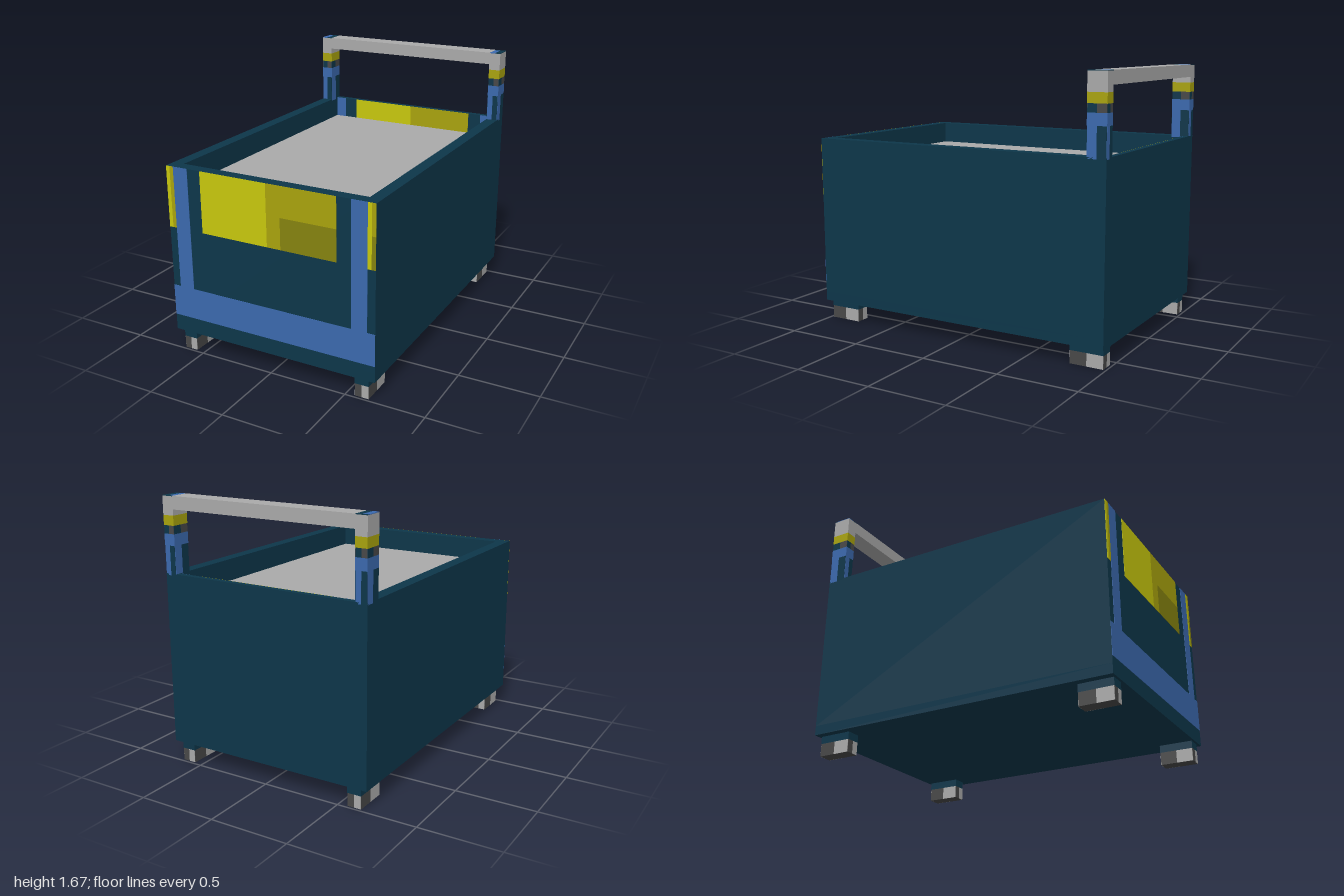
import * as THREE from 'three';

const mat = (name, color) => new THREE.MeshStandardMaterial({ name, color });

export function createModel() {
  const root = new THREE.Group();
  root.name = 'cart';
  const navy = mat('navy', 0x0d364a);
  const blue = mat('blue', 0x3b69ae);
  const yellow = mat('yellow', 0xc8c80d);
  const midYellow = mat('midYellow', 0xa9a30d);
  const olive = mat('olive', 0x86830f);
  const grey = mat('grey', 0xaaaaaa);
  const darkGrey = mat('darkGrey', 0x484848);

  // box given by its lower and upper limits
  function box(name, m, x0, x1, y0, y1, z0, z1, parent = root) {
    const mesh = new THREE.Mesh(new THREE.BoxGeometry(x1 - x0, y1 - y0, z1 - z0), m);
    mesh.position.set((x0 + x1) / 2, (y0 + y1) / 2, (z0 + z1) / 2);
    mesh.name = name;
    parent.add(mesh);
    return mesh;
  }

  const W = 0.69, T = 0.075, B = 0.035, TOP = 1.2, BASE = 0.127, DECK = 1.06, E = 0.002;

  // open crate: base, four walls and the raised inner deck
  box('base', navy, -W, W, BASE, BASE + 0.06, -1, 0.998);
  for (const s of [-1, 1]) {
    const a = s * W, b = s * (W - T);
    box('sideWall', navy, Math.min(a, b), Math.max(a, b), BASE + 0.06, TOP, -1, 0.998);
  }
  box('frontWall', navy, -W + T, W - T, BASE + 0.06, TOP, 1 - T, 0.998);
  box('backWall', navy, -W + T, W - T, BASE + 0.06, TOP, -1, -1 + B);
  box('deck', grey, -W + T, W - T, DECK - 0.03, DECK, -1 + B, 1 - T);

  // painted bands of the front, as thin plates
  const plate = (name, m, x0, x1, y0, y1, z = 0.998) => box(name, m, x0, x1, y0, y1, z, z + E);
  plate('frontBand', blue, -W, W, 0.23, 0.43);
  for (const s of [-1, 1]) {
    const c = s * 0.59;
    plate('frontPost', blue, c - 0.05, c + 0.05, 0.43, TOP);
    const e = s * 0.665;
    plate('frontEdgeLeft', yellow, e - 0.025, e, 0.815, TOP);
    plate('frontEdgeRight', midYellow, e, e + 0.025, 1.01, TOP);
    plate('frontEdgeLower', s > 0 ? olive : midYellow, e, e + 0.025, 0.815, 1.01);
    // matching posts on the inside of the back wall
    const i = s * 0.5775;
    plate('backPost', blue, i - 0.0375, i + 0.0375, DECK, TOP, -1 + B);
  }
  plate('frontPanelLeft', yellow, -0.45, 0, 0.815, TOP);
  plate('frontPanelUpper', midYellow, 0, 0.45, 1.01, TOP);
  plate('frontPanelMiddle', midYellow, 0, 0.09, 0.815, 1.01);
  plate('frontPanelLower', olive, 0.09, 0.45, 0.815, 1.01);
  plate('backPanelLeft', yellow, -0.45, 0, DECK, TOP, -1 + B);
  plate('backPanelRight', midYellow, 0, 0.45, DECK, TOP, -1 + B);

  // block whose four faces are each split into a left and a right half
  function splitBlock(name, w, d, y0, y1, left, right, parent) {
    box(name + 'Core', left, -w / 2 + E, w / 2 - E, y0, y1, -d / 2 + E, d / 2 - E, parent);
    for (let k = 0; k < 4; k++) {
      const side = new THREE.Group();
      side.name = name + 'Face';
      side.rotation.y = k * Math.PI / 2;
      const [fw, fd] = k % 2 ? [d, w] : [w, d];
      box(name + 'Left', left, -fw / 2 + E, 0, y0, y1, fd / 2 - E, fd / 2, side);
      box(name + 'Right', right, 0, fw / 2 - E, y0, y1, fd / 2 - E, fd / 2, side);
      parent.add(side);
    }
  }

  // handle posts at the back corners
  for (const s of [-1, 1]) {
    const post = new THREE.Group();
    post.name = s > 0 ? 'leftHandlePost' : 'rightHandlePost';
    post.position.set(s * (W - T / 2), 0, -0.94);
    splitBlock('postLower', T, 0.12, 1.19, 1.37, blue, navy, post);
    box('postCollar', blue, -T / 2, T / 2, 1.37, 1.44, -0.06, 0.06, post);
    splitBlock('postJoint', T, 0.12, 1.44, 1.49, navy, darkGrey, post);
    box('postRing', midYellow, -T / 2, T / 2, 1.49, 1.55, -0.06, 0.06, post);
    box('postTop', grey, -T / 2, T / 2, 1.55, 1.663, -0.06, 0.06, post);
    box('capBlue', blue, -T / 2, 0, 1.663, 1.666, -0.045, 0.06, post);
    box('capNavy', navy, 0, T / 2, 1.663, 1.666, -0.045, 0.06, post);
    box('capBack', navy, -T / 2, T / 2, 1.663, 1.666, -0.06, -0.045, post);
    root.add(post);
  }
  box('handleBar', grey, -W + T, W - T, 1.587, 1.666, -1, -0.88);

  // four block wheels with navy mounts
  for (const x of [-0.6, 0.6]) for (const z of [-0.877, 0.877]) {
    const wheel = new THREE.Group();
    wheel.name = 'wheel';
    wheel.position.set(x, 0, z);
    box('wheelMount', navy, -0.045, 0.045, 0.08, BASE, -0.106, 0.106, wheel);
    splitBlock('wheelBlock', 0.09, 0.212, 0, 0.08, darkGrey, grey, wheel);
    root.add(wheel);
  }
  return root;
}
